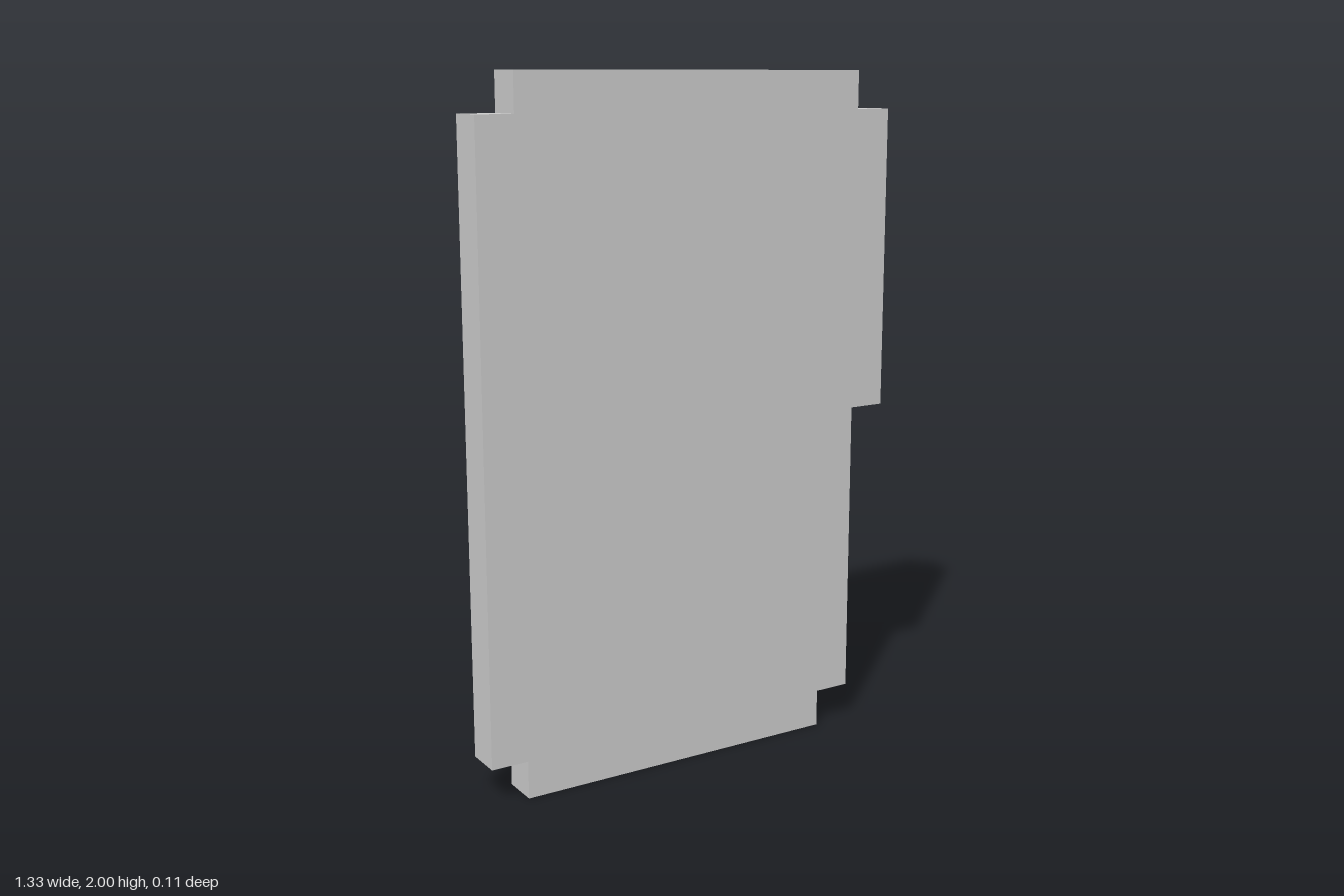
import * as THREE from 'three';

// One grid step: the plate is 12 steps wide, 18 high and 1 thick
const U = 2 / 18;

// Stepped outline in grid steps, counter-clockwise from the bottom left
const OUTLINE = [
  [-5, 0], [4, 0], [4, 1], [5, 1], [5, 9], [6, 9], [6, 17],
  [5, 17], [5, 18], [-5, 18], [-5, 17], [-6, 17], [-6, 1], [-5, 1],
];

export function createModel() {
  const group = new THREE.Group();
  group.name = 'notchedPlate';

  // Flat plate with notched corners and a stepped side
  const shape = new THREE.Shape(OUTLINE.map(([x, y]) => new THREE.Vector2(x * U, y * U)));
  const geometry = new THREE.ExtrudeGeometry(shape, { depth: U, bevelEnabled: false });
  geometry.translate(0, 0, -U / 2);

  const plate = new THREE.Mesh(
    geometry,
    new THREE.MeshStandardMaterial({ color: 0xcccccc, flatShading: true }),
  );
  plate.name = 'plate';
  group.add(plate);
  return group;
}
